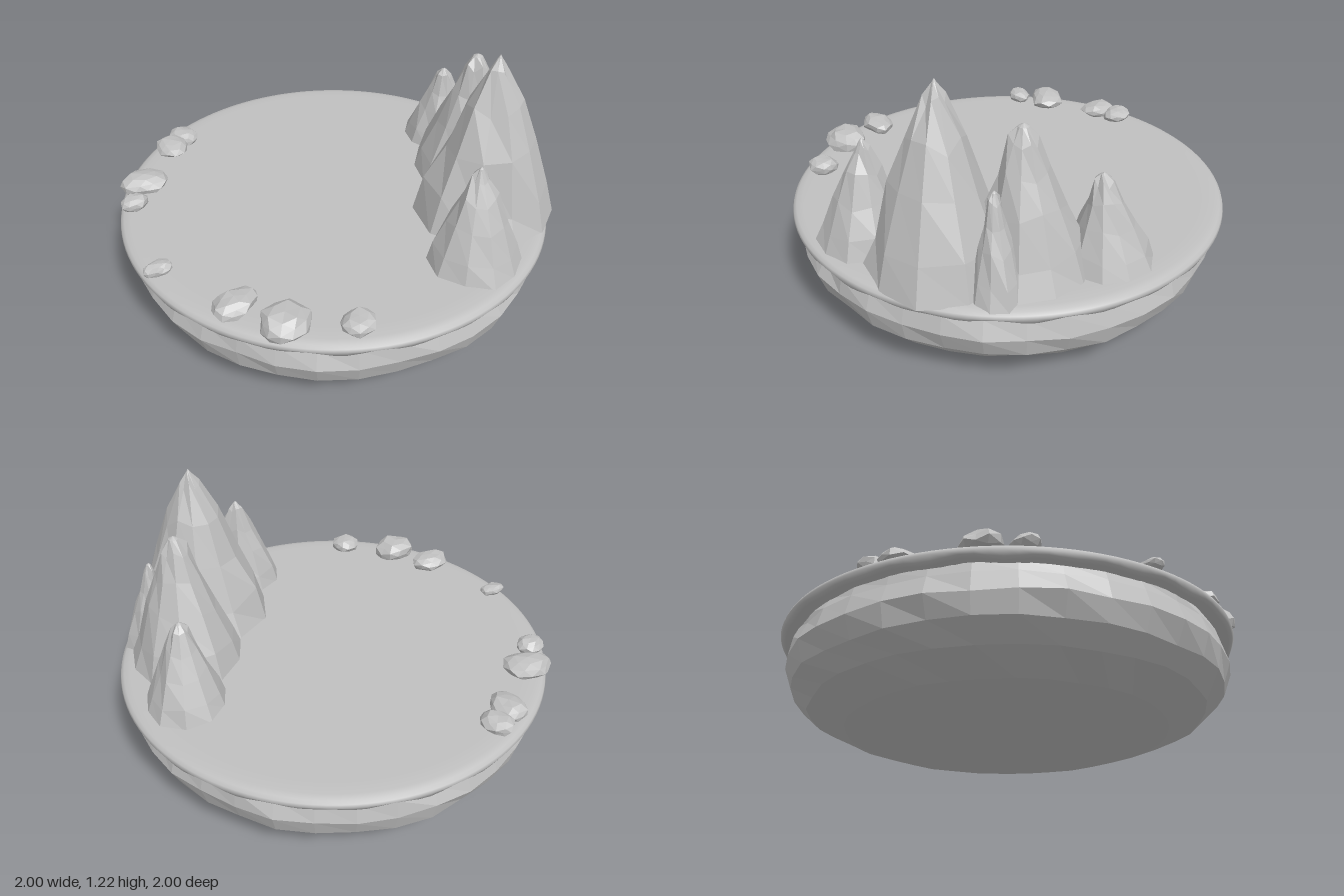
import * as THREE from 'three';

const stone = new THREE.MeshStandardMaterial({ color: 0xc0c0c0 });
stone.name = 'grey stone';

// Repeatable noise in -1..1 from three numbers
function noise(a, b, c) {
  const s = Math.sin(a * 12.99 + b * 78.23 + c * 37.72) * 43758.55;
  return (s - Math.floor(s)) * 2 - 1;
}

function facet(geometry) {
  const g = geometry.index ? geometry.toNonIndexed() : geometry;
  g.computeVertexNormals();
  return g;
}

// Lathe whose rings are roughened by a rule; the seam stays closed
function roughLathe(profile, sides, rule) {
  const g = new THREE.LatheGeometry(profile.map(p => new THREE.Vector2(p[0], p[1])), sides);
  const pos = g.attributes.position, n = profile.length;
  for (let k = 0; k < pos.count; k++) {
    const side = Math.floor(k / n) % sides, row = k % n;
    const [scale, lift] = rule(side, row);
    pos.setXYZ(k, pos.getX(k) * scale, pos.getY(k) + lift, pos.getZ(k) * scale);
  }
  return g;
}

function add(group, name, geometry) {
  const mesh = new THREE.Mesh(geometry, stone);
  mesh.name = name;
  group.add(mesh);
  return mesh;
}

// Faceted peak: a flared cone with irregular ridges
function peak(group, [x, z, rx, rz, height, blunt, tipX, tipZ], seed) {
  const base = 0.42, h = height - base;
  const rows = [[0, 0], [1, 0], [0.84, 0.2], [0.6, 0.47], [0.37, 0.7], [0.14 + blunt, 0.9], [0.03 + blunt * 0.7, 0.98], [0, 1]];
  const g = roughLathe(rows, 10, (side, row) => [
    1 + 0.07 * noise(side, 0, seed) + (row > 1 ? 0.05 * noise(side, row, seed) : 0),
    row > 1 && row < 6 ? 0.04 * noise(row, side, seed + 3) : 0,
  ]);
  const pos = g.attributes.position;
  for (let k = 0; k < pos.count; k++) {
    const t = pos.getY(k);
    pos.setXYZ(k, pos.getX(k) * rx + (tipX - x) * t, t * h, pos.getZ(k) * rz + (tipZ - z) * t);
  }
  add(group, 'peak' + seed, facet(g)).position.set(x, base, z);
}

// Rounded, irregular boulder
function boulder(group, [x, z, rx, rz, bottom, top, turn], seed) {
  const g = new THREE.IcosahedronGeometry(1, 1);
  const pos = g.attributes.position;
  for (let k = 0; k < pos.count; k++) {
    const p = [pos.getX(k), pos.getY(k), pos.getZ(k)].map(v => Math.round(v * 100) / 100 + 0);
    const s = 1 + 0.13 * noise(p[0], p[1] + seed, p[2]);
    pos.setXYZ(k, p[0] * s, Math.max(-0.9, Math.min(0.95, p[1] * s)), p[2] * s);
  }
  const mesh = add(group, 'boulder' + seed, facet(g));
  mesh.scale.set(rx, (top - bottom) / 2, rz);
  mesh.position.set(x, (top + bottom) / 2, z);
  mesh.rotation.y = turn;
}

export function createModel() {
  const model = new THREE.Group();
  model.name = 'floatingIsland';

  // Faceted rock bowl
  const bowl = [[0, 0.003], [0.4, 0.012], [0.7, 0.042], [0.86, 0.105], [0.935, 0.18], [0.968, 0.27], [0.945, 0.35], [0.93, 0.4]];
  add(model, 'rockBase', facet(roughLathe(bowl, 36, (side, row) => [
    1 + (row > 1 ? 0.01 * noise(side, row, 2) : 0),
    row > 2 && row < 6 ? 0.006 * noise(side, row, 5) : 0,
  ])));

  // Smooth top slab with a drooping, wavy lip
  const slab = [[0.91, 0.395], [0.95, 0.381], [0.975, 0.378], [0.992, 0.386], [1, 0.402],
    [0.996, 0.416], [0.982, 0.426], [0.955, 0.432], [0.9, 0.434], [0, 0.434]];
  add(model, 'topSlab', roughLathe(slab, 120, (side, row) => {
    const a = side / 120 * Math.PI * 2;
    return [1, row > 0 && row < 4 ? 0.005 * Math.sin(a * 24) + 0.003 * Math.sin(a * 17 + 1) : 0];
  }));

  // Mountain range: x, z, radii, height, bluntness, tip x and z
  const mountains = new THREE.Group();
  mountains.name = 'mountains';
  [
    [0.52, -0.48, 0.31, 0.31, 1.22, 0, 0.51, -0.48],
    [0.21, -0.66, 0.25, 0.27, 1.06, 0.08, 0.23, -0.65],
    [-0.1, -0.755, 0.185, 0.185, 0.83, 0.06, -0.07, -0.74],
    [0.75, -0.195, 0.2, 0.2, 0.895, 0.02, 0.73, -0.2],
    [0.4, -0.78, 0.115, 0.115, 0.86, 0.08, 0.39, -0.74],
  ].forEach((m, i) => peak(mountains, m, i + 1));
  model.add(mountains);

  // Boulders along the front rim: x, z, radii, bottom, top, turn
  const boulders = new THREE.Group();
  boulders.name = 'boulders';
  [
    [-0.82, 0.37, 0.08, 0.065, 0.415, 0.495, 0.2],
    [-0.76, 0.465, 0.09, 0.08, 0.42, 0.5, -0.3],
    [-0.56, 0.71, 0.085, 0.11, 0.405, 0.505, -0.3],
    [-0.44, 0.82, 0.055, 0.065, 0.415, 0.495, 0.2],
    [0.035, 0.935, 0.042, 0.062, 0.425, 0.48, 0],
    [0.41, 0.785, 0.073, 0.1, 0.42, 0.505, 0.1],
    [0.61, 0.675, 0.1, 0.11, 0.4, 0.52, 0.3],
    [0.78, 0.445, 0.07, 0.07, 0.415, 0.5, 0.4],
  ].forEach((b, i) => boulder(boulders, b, i + 1));
  model.add(boulders);

  return model;
}
